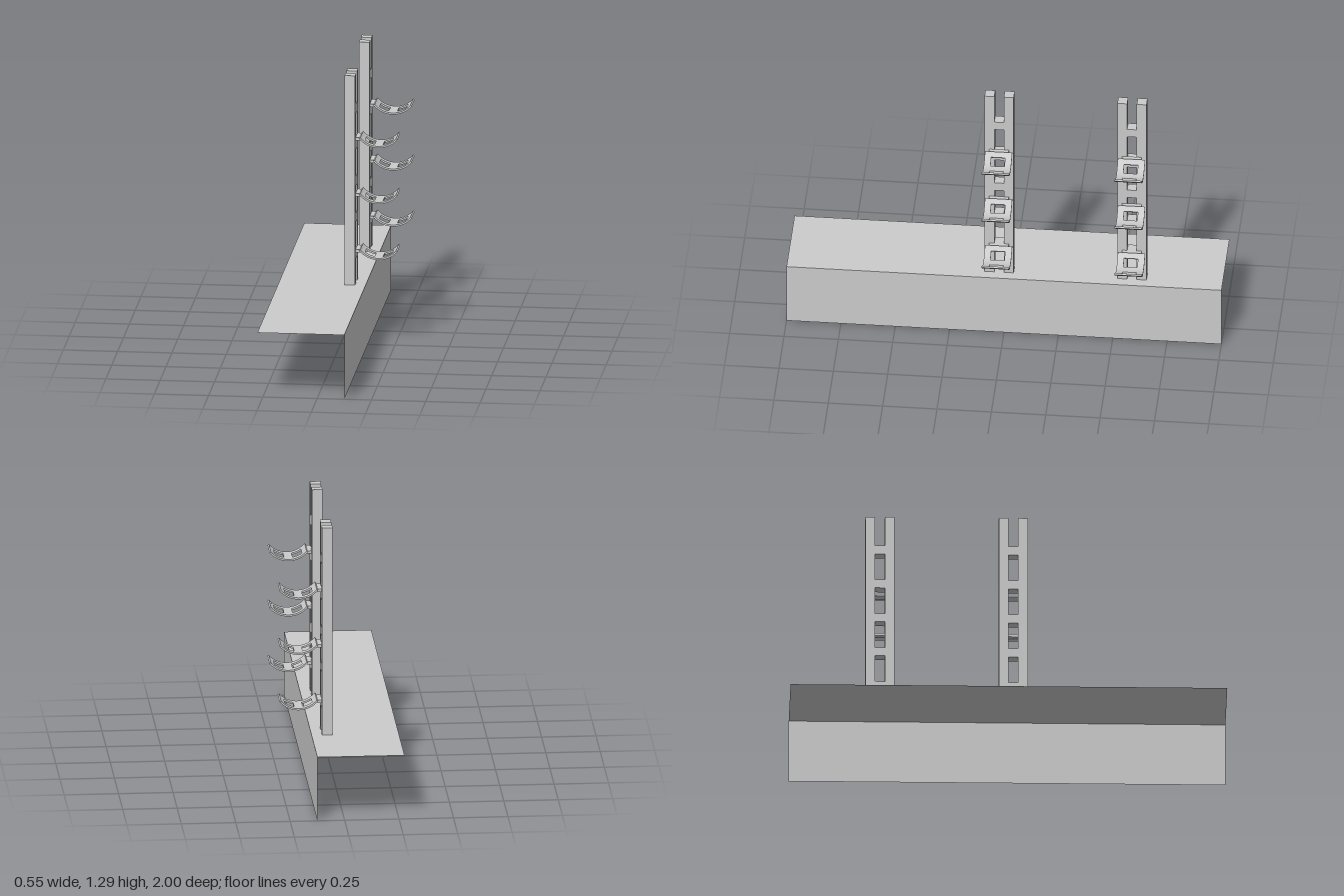
import * as THREE from 'three';

const grey = new THREE.MeshStandardMaterial({ color: 0xcccccc, flatShading: true });
const sheet = new THREE.MeshStandardMaterial({ color: 0xcccccc, side: THREE.DoubleSide });

const BASE_Y = 0.304, TOP_Y = 1.294;
const POST_X = 0.028, POST_DEPTH = 0.049, POST_HALF = 0.067, SLOT_HALF = 0.022;

function add(parent, name, geometry, material = grey) {
  const mesh = new THREE.Mesh(geometry, material);
  mesh.name = name;
  parent.add(mesh);
  return mesh;
}

// Upright with rectangular windows and a slot open at each end
function postGeometry() {
  const web = 0.042, pitch = 0.1715, firstWeb = 0.422, webs = 5;
  const lastTop = firstWeb + (webs - 1) * pitch + web;
  const s = SLOT_HALF, w = POST_HALF;
  const points = (list) => list.map(([x, y]) => new THREE.Vector2(x, y));
  const shape = new THREE.Shape(points([
    [-w, BASE_Y], [-s, BASE_Y], [-s, firstWeb], [s, firstWeb], [s, BASE_Y], [w, BASE_Y],
    [w, TOP_Y], [s, TOP_Y], [s, lastTop], [-s, lastTop], [-s, TOP_Y], [-w, TOP_Y],
  ]));
  for (let i = 0; i < webs - 1; i++) {
    const low = firstWeb + i * pitch + web, high = firstWeb + (i + 1) * pitch;
    shape.holes.push(new THREE.Path(points([[-s, low], [-s, high], [s, high], [s, low]])));
  }
  return new THREE.ExtrudeGeometry(shape, { depth: POST_DEPTH, bevelEnabled: false })
    .rotateY(Math.PI / 2).translate(POST_X, 0, 0);
}

// Curved strip between two angles (degrees from straight down), spanning z0 to z1
function arcStrip(from, to, z0, z1) {
  const inner = 0.107, outer = 0.115;
  const a = THREE.MathUtils.degToRad(from - 90), b = THREE.MathUtils.degToRad(to - 90);
  const shape = new THREE.Shape();
  shape.absarc(0, 0, outer, a, b, false);
  shape.absarc(0, 0, inner, b, a, true);
  return new THREE.ExtrudeGeometry(shape, {
    depth: z1 - z0, bevelEnabled: false, curveSegments: Math.max(3, Math.round((to - from) / 5)),
  }).translate(0.183, 0.069, z0);
}

// Cradle: two curved side rails, three cross bars and a short stem
function createCradle() {
  const cradle = new THREE.Group();
  cradle.name = 'cradle';
  const half = 0.0625, hole = 0.032;
  add(cradle, 'cradleRail', arcStrip(-50, 50, -half, -hole));
  add(cradle, 'cradleRail', arcStrip(-50, 50, hole, half));
  for (const [from, to] of [[-50, -36], [-10.5, 10.5], [36, 50]]) {
    add(cradle, 'cradleCrossBar', arcStrip(from, to, -hole, hole));
  }
  add(cradle, 'cradleStem', new THREE.BoxGeometry(0.023, 0.014, 0.09)).position.set(0.087, -0.011, 0);
  return cradle;
}

export function createModel() {
  const model = new THREE.Group();
  model.name = 'wallRack';

  // Thin angle-shaped base: top sheet and side sheet
  add(model, 'baseTop', new THREE.PlaneGeometry(0.4, 2).rotateX(-Math.PI / 2), sheet)
    .position.set(-0.275, BASE_Y, 0).add(new THREE.Vector3(0.2, 0, 0));
  add(model, 'baseSide', new THREE.PlaneGeometry(2, BASE_Y).rotateY(Math.PI / 2), sheet)
    .position.set(0.125, BASE_Y / 2, 0);

  // Two uprights, each with three cradles
  for (const z of [0.027, -0.584]) {
    const upright = new THREE.Group();
    upright.name = 'upright';
    upright.position.z = z;
    add(upright, 'post', postGeometry());
    for (let i = 0; i < 3; i++) {
      const cradle = createCradle();
      cradle.position.y = 0.47 + i * 0.265;
      upright.add(cradle);
    }
    model.add(upright);
  }
  return model;
}
